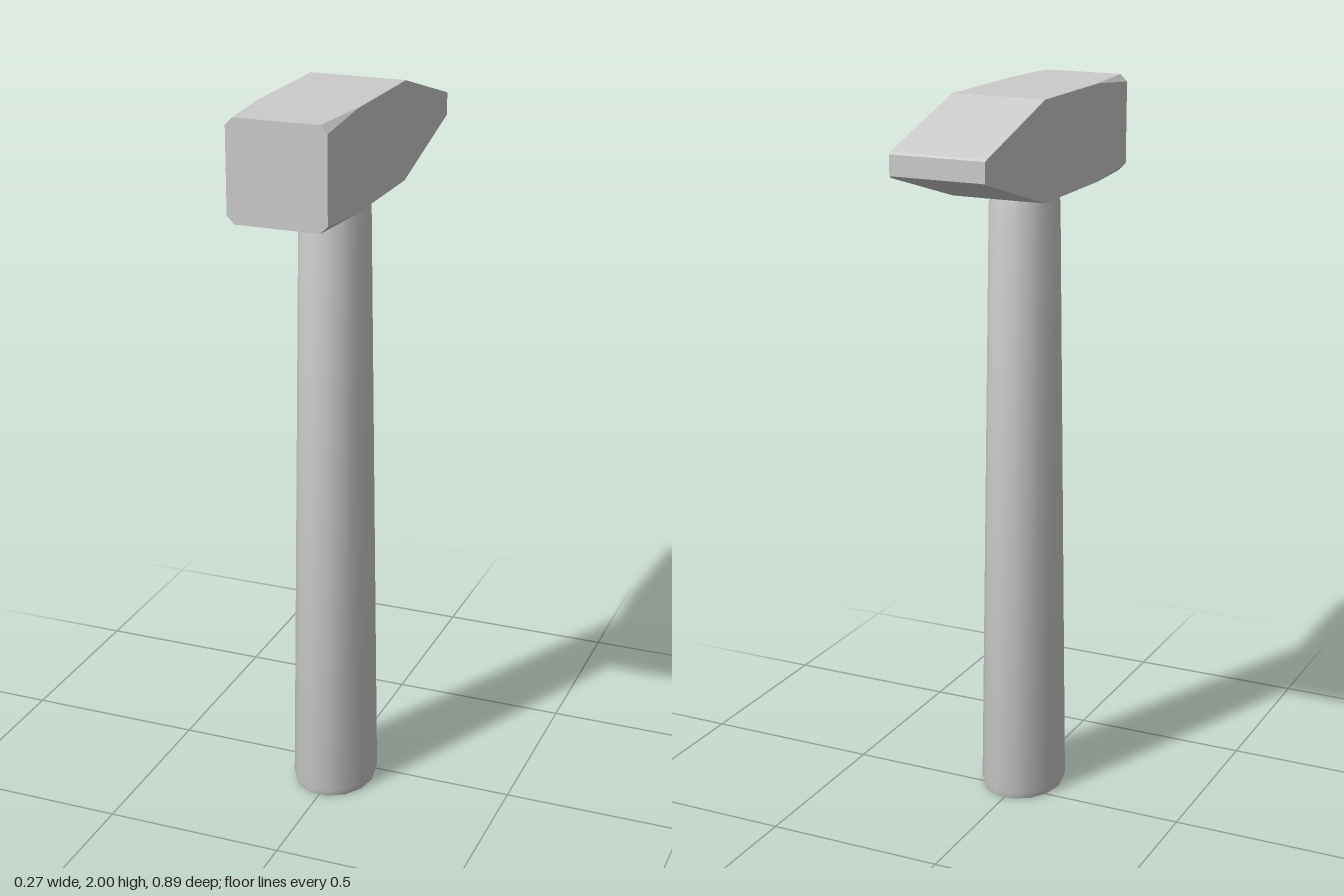
import * as THREE from 'three';
import { toCreasedNormals } from 'three/addons/utils/BufferGeometryUtils.js';

// Skin a list of closed rings (counter-clockwise seen from the first ring's outside) and cap both ends.
function loft(rings, crease) {
  const n = rings[0].length;
  const index = [];
  const last = (rings.length - 1) * n;
  for (let r = 0; r < rings.length - 1; r++) {
    for (let i = 0; i < n; i++) {
      const a = r * n + i, a2 = r * n + (i + 1) % n;
      index.push(a, a + n, a2, a2, a + n, a2 + n);
    }
  }
  for (let i = 1; i < n - 1; i++) {
    index.push(0, i, i + 1, last, last + i + 1, last + i);
  }
  const geometry = new THREE.BufferGeometry();
  geometry.setAttribute('position', new THREE.Float32BufferAttribute(rings.flat(2), 3));
  geometry.setIndex(index);
  return toCreasedNormals(geometry, crease);
}

// Rectangle with cut corners, standing in the xy plane at depth z
function headRing([z, y, halfW, halfH, cut]) {
  const w = halfW - cut, h = halfH - cut;
  return [
    [halfW, -h], [halfW, h], [w, halfH], [-w, halfH],
    [-halfW, h], [-halfW, -h], [-w, -halfH], [w, -halfH],
  ].map(([px, py]) => [px, y + py, z]);
}

// Horizontal oval at height y
function handleRing([y, rx, rz]) {
  const sides = 14;
  return Array.from({ length: sides }, (_, i) => {
    const t = (i / sides) * Math.PI * 2;
    return [rx * Math.cos(t), y, 0.0625 - rz * Math.sin(t)];
  });
}

export function createModel() {
  const group = new THREE.Group();
  const material = new THREE.MeshStandardMaterial({ color: 0xcccccc });

  const addPart = (name, geometry) => {
    const mesh = new THREE.Mesh(geometry, material);
    mesh.name = name;
    group.add(mesh);
  };

  // Head: square striking face with cut corners, wedge-shaped peen at the back
  // [z, centre y, half width, half height, corner cut]
  const headSections = [
    [0.445, 1.867, 0.133, 0.133, 0.02],
    [0.25, 1.867, 0.133, 0.133, 0.001],
    [-0.1, 1.867, 0.133, 0.133, 0.001],
    [-0.438, 1.867, 0.133, 0.032, 0.001],
    [-0.445, 1.867, 0.131, 0.027, 0.001],
  ];
  addPart('hammerHead', loft(headSections.map(headRing), 0.05));

  // Handle: oval shaft that widens downward, with a small bevel at the foot
  // [y, radius in x, radius in z]
  const handleSections = [
    [1.76, 0.078, 0.098],
    [1.7, 0.092, 0.113],
    [0.02, 0.116, 0.138],
    [0, 0.111, 0.133],
  ];
  addPart('handle', loft(handleSections.map(handleRing), 0.6));

  return group;
}
